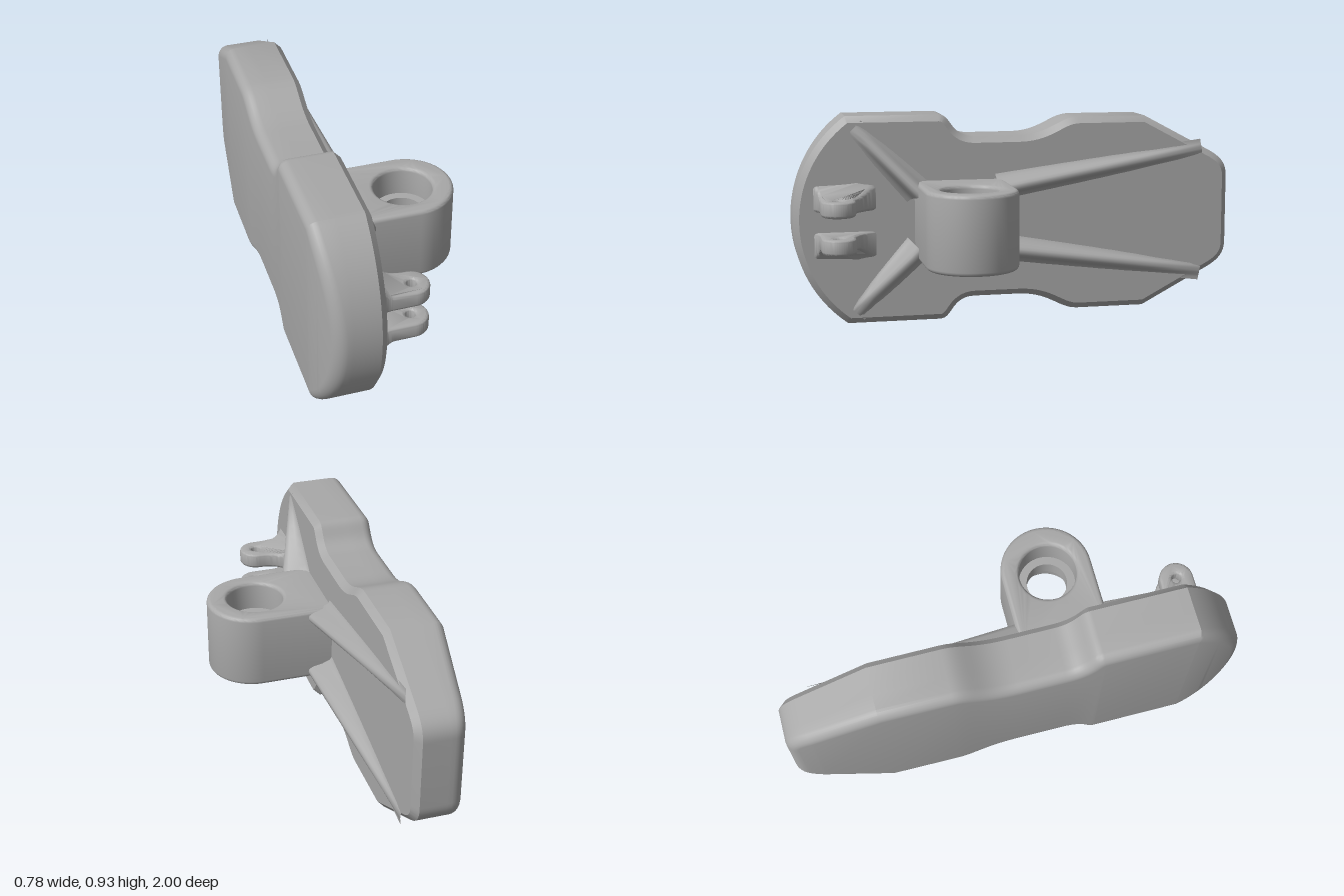
import * as THREE from 'three';
import { toCreasedNormals } from 'three/addons/utils/BufferGeometryUtils.js';

const MID = 0.4625; // height of the mirror plane
const FACE = -0.13; // x of the mounting face

const mesh = (name, geometry, material) => {
  const m = new THREE.Mesh(geometry, material);
  m.name = name;
  return m;
};

function indexed(positions, index, crease) {
  const g = new THREE.BufferGeometry();
  g.setAttribute('position', new THREE.Float32BufferAttribute(positions, 3));
  g.setIndex(index);
  return toCreasedNormals(g, crease);
}

// Upper half of the plate outline as (z, height above the mirror plane)
function halfOutline() {
  const s = new THREE.Path();
  const r = 0.57, end = Math.asin(0.4625 / r);
  s.moveTo(1, 0);
  s.absarc(1 - r, 0, r, 0, end, false);
  s.lineTo(0.35, 0.4625);
  s.bezierCurveTo(0.29, 0.4625, 0.3, 0.363, 0.19, 0.363);
  s.lineTo(-0.01, 0.363);
  s.bezierCurveTo(-0.16, 0.363, -0.2, 0.441, -0.29, 0.441);
  s.lineTo(-0.6, 0.441);
  s.lineTo(-0.905, 0.279);
  s.bezierCurveTo(-0.96, 0.25, -1, 0.22, -1, 0.155);
  s.lineTo(-1, 0);
  return s.getPoints(14).filter((p, i, a) => i === 0 || p.distanceTo(a[i - 1]) > 1e-4);
}

// Plate: inset copies of the outline, with a gently domed back
function plateGeometry() {
  const half = halfOutline(), h = half.length;
  const loop = half.concat(half.slice(1, -1).reverse().map(p => new THREE.Vector2(p.x, -p.y)));
  const n = loop.length;
  const inward = loop.map((p, i) => {
    const a = p.clone().sub(loop[(i + n - 1) % n]).normalize();
    const b = loop[(i + 1) % n].clone().sub(p).normalize();
    const m = new THREE.Vector2(-a.y - b.y, a.x + b.x).normalize();
    return m.divideScalar(Math.max(0.5, -m.x * a.y + m.y * a.x));
  });
  const dome = z => 0.05 * (z < 0
    ? Math.max(0, (-z - 0.5) / 0.5) ** 2
    : Math.max(0, (z - 0.72) / 0.28) ** 2);
  const levels = [[FACE, 0.028, 0], [-0.158, 0, 0], [-0.275, 0, 0]];
  for (let k = 0; k <= 6; k++) {
    const a = k / 6 * Math.PI / 2;
    levels.push([-0.345 - 0.045 * Math.sin(a), 0.045 * (1 - Math.cos(a)), 1]);
  }
  const pos = [], idx = [];
  for (const [x, inset, w] of levels) {
    loop.forEach((p, i) => {
      const z = p.x + inward[i].x * inset, y = p.y + inward[i].y * inset;
      pos.push(x + w * dome(z), MID + y, z);
    });
  }
  for (let l = 0; l < levels.length - 1; l++) {
    for (let i = 0; i < n; i++) {
      const j = (i + 1) % n, a = l * n, b = a + n;
      idx.push(a + i, a + j, b + j, a + i, b + j, b + i);
    }
  }
  // Front and back faces join each point to its mirror image
  const last = (levels.length - 1) * n;
  for (let i = 0; i < h - 1; i++) {
    const m = (n - i) % n, q = n - i - 1;
    idx.push(i, m, q, i, q, i + 1);
    idx.push(last + i, last + q, last + m, last + i, last + i + 1, last + q);
  }
  return indexed(pos, idx, 0.5);
}

// Stiffening rib from (y, z) to (y, z), fading out along its length
function ribGeometry(from, to, height, width) {
  const section = [[-1, 0], [-0.7, 0.1], [-0.5, 0.4], [-0.36, 0.8], [-0.2, 0.97], [0, 1],
    [0.2, 0.97], [0.36, 0.8], [0.5, 0.4], [0.7, 0.1], [1, 0]];
  const dy = to[0] - from[0], dz = to[1] - from[1], len = Math.hypot(dy, dz);
  const pos = [], idx = [], steps = 8, c = section.length;
  for (let j = 0; j <= steps; j++) {
    const u = j / steps, w = width * (1 - 0.3 * u);
    for (const [t, f] of section) {
      pos.push(FACE - 0.003 + f * height * (1 - u) + 0.004 * f,
        MID + from[0] + dy * u - dz / len * t * w,
        from[1] + dz * u + dy / len * t * w);
    }
  }
  for (let j = 0; j < steps; j++) {
    for (let i = 0; i < c - 1; i++) {
      const a = j * c + i, b = a + c;
      idx.push(a, b, b + 1, a, b + 1, a + 1);
    }
  }
  return indexed(pos, idx, 0.9);
}

// Extrudes an (x, z) shape upward, centred on height y, with rounded edges
function slab(shape, y, thickness, bevel) {
  const g = new THREE.ExtrudeGeometry(shape, {
    depth: thickness - 2 * bevel, bevelThickness: bevel, bevelSize: bevel,
    bevelOffset: -bevel, bevelSegments: 4, curveSegments: 24,
  });
  g.translate(0, 0, -thickness / 2 + bevel);
  g.rotateX(Math.PI / 2);
  g.translate(0, y, 0);
  return g;
}

function bossGeometry() {
  const s = new THREE.Shape();
  s.moveTo(-0.16, 0.063);
  s.lineTo(0.186, 0.063);
  s.absarc(0.186, 0.263, 0.2, -Math.PI / 2, Math.PI / 2, false);
  s.lineTo(-0.16, 0.463);
  s.closePath();
  s.holes.push(new THREE.Path().absarc(0.169, 0.265, 0.126, 0, Math.PI * 2, true));
  return toCreasedNormals(slab(s, MID + 0.001, 0.342, 0.018), 0.7);
}

// Lug with a pin hole and a root that flares away from its twin
function lugGeometry(side) {
  const s = new THREE.Shape();
  s.moveTo(-0.15, 0.6);
  s.bezierCurveTo(-0.11, 0.67, -0.08, 0.738, 0.02, 0.738);
  s.absarc(0.02, 0.813, 0.075, -Math.PI / 2, Math.PI / 2, false);
  s.lineTo(-0.07, 0.888);
  s.bezierCurveTo(-0.11, 0.888, -0.12, 0.895, -0.15, 0.93);
  s.closePath();
  s.holes.push(new THREE.Path().absarc(0.02, 0.813, 0.02, 0, Math.PI * 2, true));
  const y = MID + side * 0.081;
  const g = slab(s, y, 0.07, 0.014);
  const p = g.attributes.position;
  for (let i = 0; i < p.count; i++) {
    const k = Math.max(0, (-0.06 - p.getX(i)) / 0.07);
    if ((p.getY(i) - y) * side > 0) p.setY(i, p.getY(i) + side * 0.045 * k * k);
  }
  return toCreasedNormals(g, 0.8);
}

export function createModel() {
  const metal = new THREE.MeshStandardMaterial({ color: 0xa8a8a8 });
  metal.name = 'plain grey metal';
  const group = new THREE.Group();
  group.name = 'pivotBracket';

  group.add(mesh('plate', plateGeometry(), metal));
  group.add(mesh('pivotBoss', bossGeometry(), metal));

  // Narrow collar halfway down the pivot bore
  const collar = new THREE.LatheGeometry([
    [0.135, -0.04], [0.09, -0.04], [0.09, 0.04], [0.135, 0.04],
  ].map(([r, y]) => new THREE.Vector2(r, y)).reverse(), 48);
  const collarMesh = mesh('boreCollar', toCreasedNormals(collar, 0.5), metal);
  collarMesh.position.set(0.169, MID, 0.265);
  group.add(collarMesh);

  // Mirrored ribs and lugs
  for (const side of [1, -1]) {
    const tag = side > 0 ? 'upper' : 'lower';
    group.add(mesh(tag + 'FrontRib', ribGeometry([side * 0.125, 0.45], [side * 0.41, 0.73], 0.12, 0.07), metal));
    group.add(mesh(tag + 'BackRib', ribGeometry([side * 0.135, 0.09], [side * 0.285, -0.87], 0.11, 0.065), metal));
    group.add(mesh(tag + 'Lug', lugGeometry(side), metal));
  }
  return group;
}
